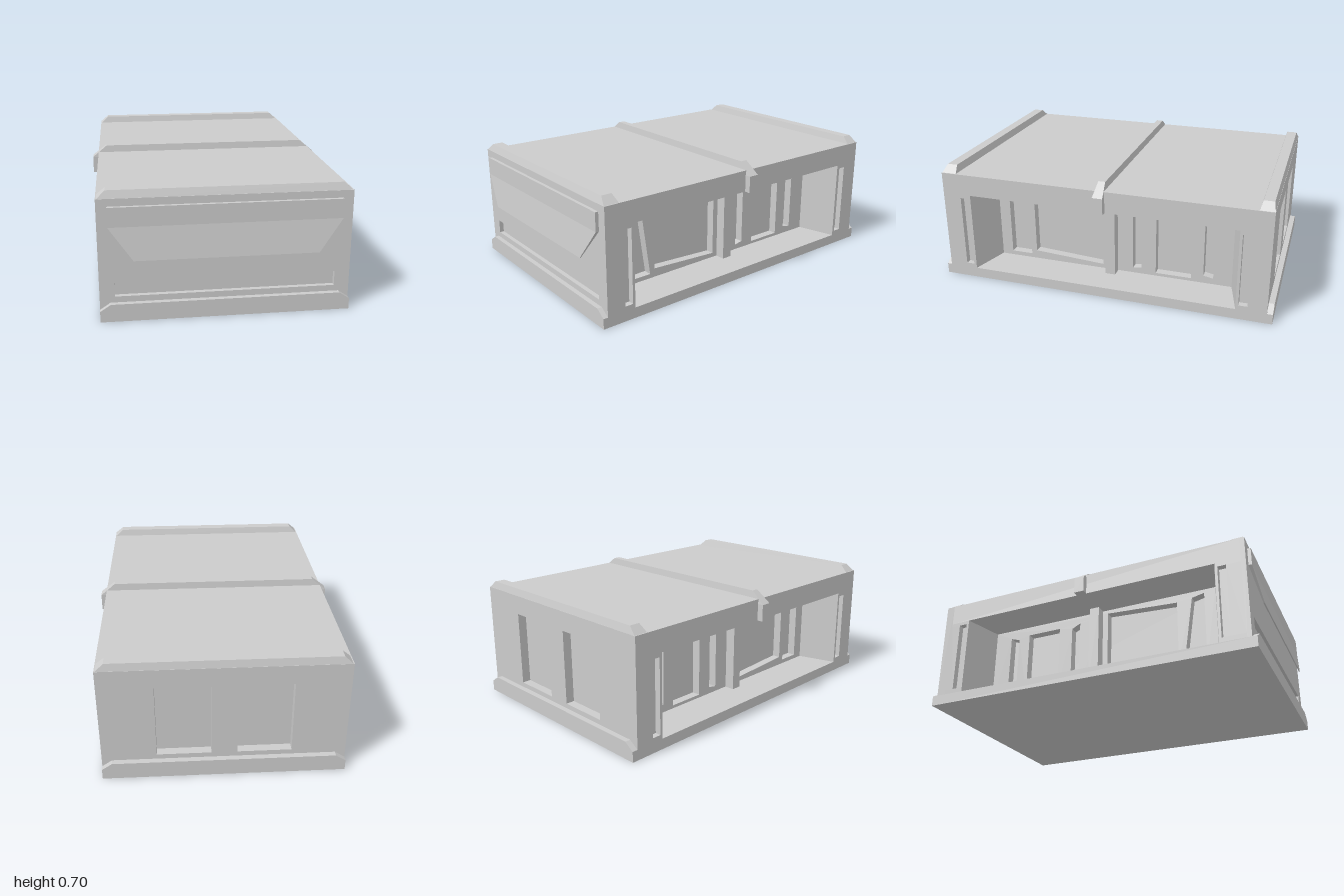
import * as THREE from 'three';
import { ConvexGeometry } from 'three/addons/geometries/ConvexGeometry.js';

const mat = new THREE.MeshStandardMaterial({ color: 0xcccccc, flatShading: true });
const W = 0.66, FRONT = 0.957, BACK = -0.968, INNER = 0.43;

// Extrude a polygon (with optional polygon holes) along +z from 0 to depth
function prism(points, depth, holes = []) {
  const toVec = ([x, y]) => new THREE.Vector2(x, y);
  const shape = new THREE.Shape(points.map(toVec));
  shape.holes = holes.map((h) => new THREE.Path(h.map(toVec)));
  return new THREE.ExtrudeGeometry(shape, { depth, bevelEnabled: false });
}
const rect = (x0, x1, y0, y1) => [[x0, y0], [x1, y0], [x1, y1], [x0, y1]];

// Convex block lofted between a lower and an upper rectangle
function loft(y0, w0, za, zb, y1, w1, zc, zd) {
  const pts = [];
  for (const s of [-1, 1]) {
    for (const z of [za, zb]) pts.push(new THREE.Vector3(s * w0, y0, z));
    for (const z of [zc, zd]) pts.push(new THREE.Vector3(s * w1, y1, z));
  }
  return new ConvexGeometry(pts);
}

export function createModel() {
  const model = new THREE.Group();
  const add = (name, geo) => {
    const mesh = new THREE.Mesh(geo, mat);
    mesh.name = name;
    model.add(mesh);
  };
  const box = (name, x0, x1, y0, y1, z0, z1) =>
    add(name, new THREE.BoxGeometry(x1 - x0, y1 - y0, z1 - z0)
      .translate((x0 + x1) / 2, (y0 + y1) / 2, (z0 + z1) / 2));

  // Base plate with raised, chamfered lips at both ends
  box('basePlate', -W, W, 0, 0.06, -1, 0.984);
  const lip = [[-W, 0.06], [W, 0.06], [0.605, 0.097], [-0.605, 0.097]];
  add('frontLip', prism(lip, 0.984 - FRONT).translate(0, 0, FRONT));
  add('backLip', prism(lip, 1 + BACK).translate(0, 0, -1));

  // Roof slab and solid core behind the side recesses
  const skinFront = FRONT - 0.025, skinBack = BACK + 0.05;
  box('roof', -W, W, 0.535, 0.66, skinBack, skinFront);
  box('core', -0.38, 0.38, 0.06, 0.535, -0.735, 0.72);

  // Front skin with a long slot, back skin with two door recesses
  const face = rect(-W, W, 0.06, 0.66);
  add('frontWall', prism(face, 0.025, [rect(-0.58, 0.58, 0.13, 0.21)])
    .translate(0, 0, skinFront));
  add('backWall', prism(face, 0.05,
    [rect(0.07, 0.365, 0.125, 0.55), rect(-0.365, -0.07, 0.125, 0.55)])
    .translate(0, 0, BACK));

  // End blocks: slanted inner faces and a narrow vertical slot on each side
  const ends = {
    frontEnd: [0.72, 0.785, 0.8, 0.848, skinFront],
    backEnd: [-0.735, -0.795, -0.81, -0.861, skinBack],
  };
  for (const [name, [zIn, zOut, s0, s1, zEnd]] of Object.entries(ends)) {
    const plain = [[INNER, zIn], [W, zOut], [W, zEnd]];
    const slotted = [[INNER, zIn], [W, zOut], [W, s0], [0.625, s0], [0.625, s1], [W, s1], [W, zEnd]];
    for (const [half, y0, y1] of [[plain, 0.06, 0.086], [slotted, 0.086, 0.513], [plain, 0.513, 0.535]]) {
      const outline = [...half, ...half.map(([x, z]) => [-x, z]).reverse()].map(([x, z]) => [x, -z]);
      add(name, prism(outline, y1 - y0).rotateX(-Math.PI / 2).translate(0, y0, 0));
    }
  }

  // Recessed side panels, corners as (z, y)
  const panels = [
    [[0.652, 0.513], [0.578, 0.497], [0.519, 0.086], [0.652, 0.086]],
    [[0.487, 0.487], [0.048, 0.513], [0.048, 0.086], [0.487, 0.112]],
    [[-0.139, 0.487], [-0.193, 0.46], [-0.193, 0.1], [-0.139, 0.09]],
    rect(-0.495, -0.28, 0.078, 0.479),
    [[-0.567, 0.46], [-0.626, 0.48], [-0.626, 0.096], [-0.567, 0.107]],
  ].map((p) => p.map(([z, y]) => [-z, y]));
  for (const s of [-1, 1]) {
    const side = s > 0 ? 'left' : 'right';
    add(side + 'PanelWall', prism(rect(-0.72, 0.735, 0.06, 0.535), 0.05, panels)
      .rotateY(Math.PI / 2).translate(s > 0 ? 0.38 : -INNER, 0, 0));
    // Centre post inside the recess and the strap end hanging over the roof edge
    const span = (a, b) => (s > 0 ? [a, b] : [-b, -a]);
    box(side + 'Post', ...span(0.42, 0.49), 0.06, 0.535, -0.045, 0.015);
    box(side + 'StrapEnd', ...span(0.65, 0.695), 0.535, 0.632, -0.045, 0.015);
  }

  // Roof ribs
  add('frontRib', loft(0.655, W, 0.866, FRONT, 0.7, 0.61, 0.88, 0.94));
  add('backRib', loft(0.655, W, BACK, -0.885, 0.7, 0.61, BACK + 0.012, -0.897));
  add('centreRib', loft(0.632, 0.695, -0.045, 0.015, 0.7, 0.61, -0.035, 0.005));

  // Front visor: flat band with a flared, tapering flap beneath
  box('visorBand', -0.605, 0.605, 0.515, 0.62, FRONT, 0.976);
  add('visorFlap', loft(0.34, 0.48, 0.993, 1, 0.515, 0.605, FRONT, 0.976));

  return model;
}
